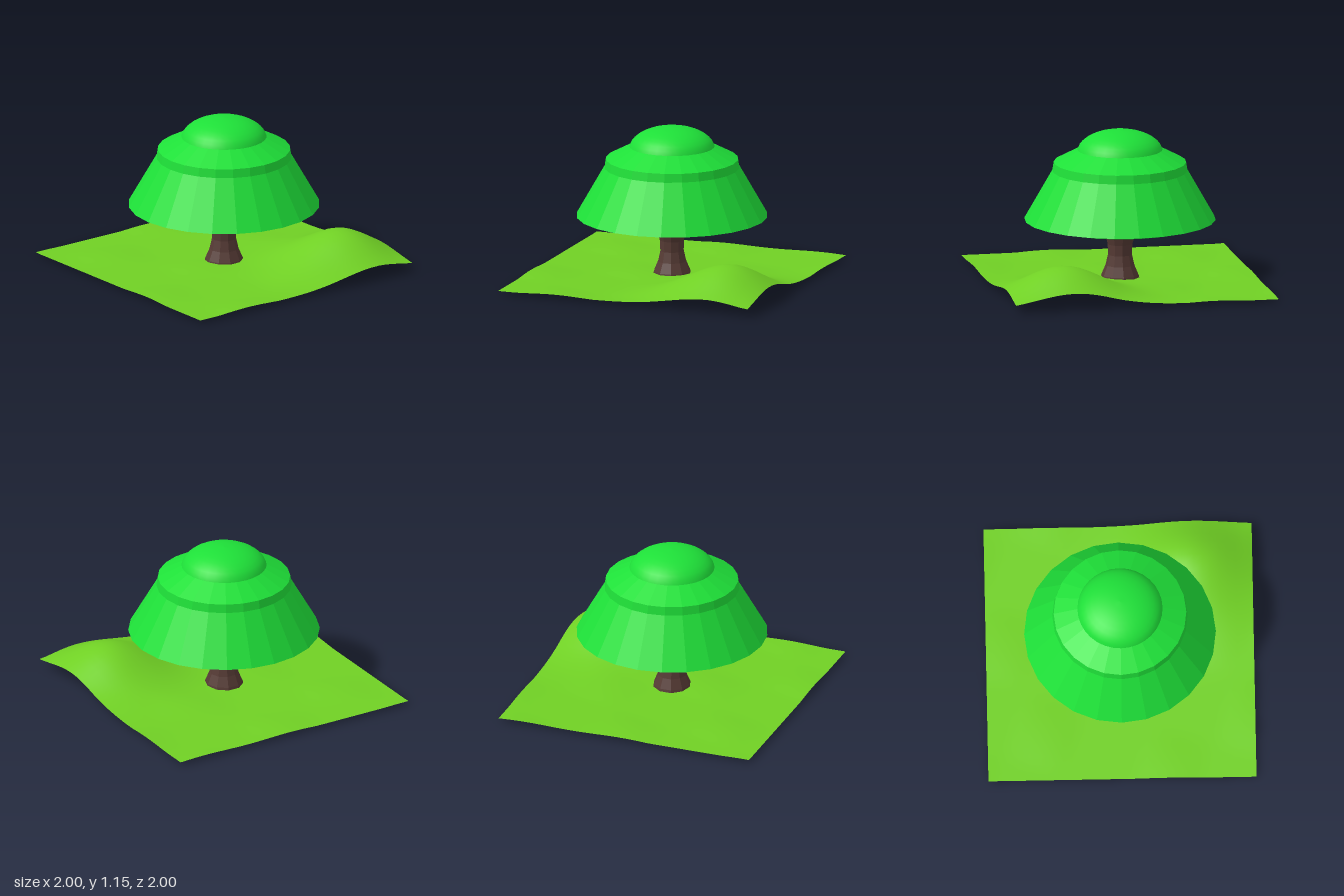
import * as THREE from 'three';

const mat = (color, extra = {}) => new THREE.MeshStandardMaterial({ color, ...extra });

function part(name, geometry, material) {
  const mesh = new THREE.Mesh(geometry, material);
  mesh.name = name;
  return mesh;
}

const lathe = (points, sides) =>
  new THREE.LatheGeometry(points.map(([r, y]) => new THREE.Vector2(r, y)), sides);

// Gentle ripples plus one rounded hill in the back left corner
function groundHeight(x, z) {
  const dx = (x - 0.58) / (x < 0.58 ? 0.44 : 0.4);
  const dz = (z + 0.66) / (z < -0.66 ? 0.37 : 0.42);
  const hill = 0.245 * Math.exp(-dx * dx - dz * dz);
  const ripple = Math.sin(6.1 * x + 2 * z + 0.7) * Math.sin(5.3 * z - 1.7 * x + 0.4);
  return 0.024 + hill + 0.012 * Math.max(0, ripple);
}

function groundGeometry() {
  const geo = new THREE.PlaneGeometry(2, 2, 32, 32).rotateX(-Math.PI / 2);
  const p = geo.attributes.position;
  for (let i = 0; i < p.count; i++) p.setY(i, groundHeight(p.getX(i), p.getZ(i)));
  geo.computeVertexNormals();
  return geo;
}

export function createModel() {
  const group = new THREE.Group();
  const leaf = mat(0x1ee038, { flatShading: true });

  group.add(part('ground', groundGeometry(), mat(0x70d024, { side: THREE.DoubleSide })));

  // Faceted trunk, flared at the roots and under the crown
  group.add(part('trunk', lathe([
    [0, 0], [0.15, 0.005], [0.14, 0.045], [0.108, 0.12], [0.09, 0.2],
    [0.093, 0.28], [0.115, 0.36], [0.16, 0.43], [0, 0.44],
  ], 10), mat(0x553a34, { flatShading: true })));

  // Lower crown: shallow dished underside and a steep skirt
  group.add(part('lowerCrown', lathe([
    [0, 0.405], [0.2, 0.408], [0.4, 0.418], [0.58, 0.437], [0.715, 0.47],
    [0.505, 0.84], [0.495, 0.905],
  ], 24), leaf));

  // Upper crown: sloping shoulder below the dome
  group.add(part('upperCrown', lathe([[0.495, 0.905], [0.315, 1.0], [0, 1.02]], 24), leaf));

  // Rounded cap
  const dome = [];
  for (let i = 0; i <= 8; i++) {
    const a = 0.12 + (i / 8) * (Math.PI / 2 - 0.12);
    dome.push([i === 8 ? 0 : 0.32 * Math.cos(a), 0.98 + 0.167 * Math.sin(a)]);
  }
  group.add(part('crownCap', lathe(dome, 32), mat(0x1ee038)));

  return group;
}
